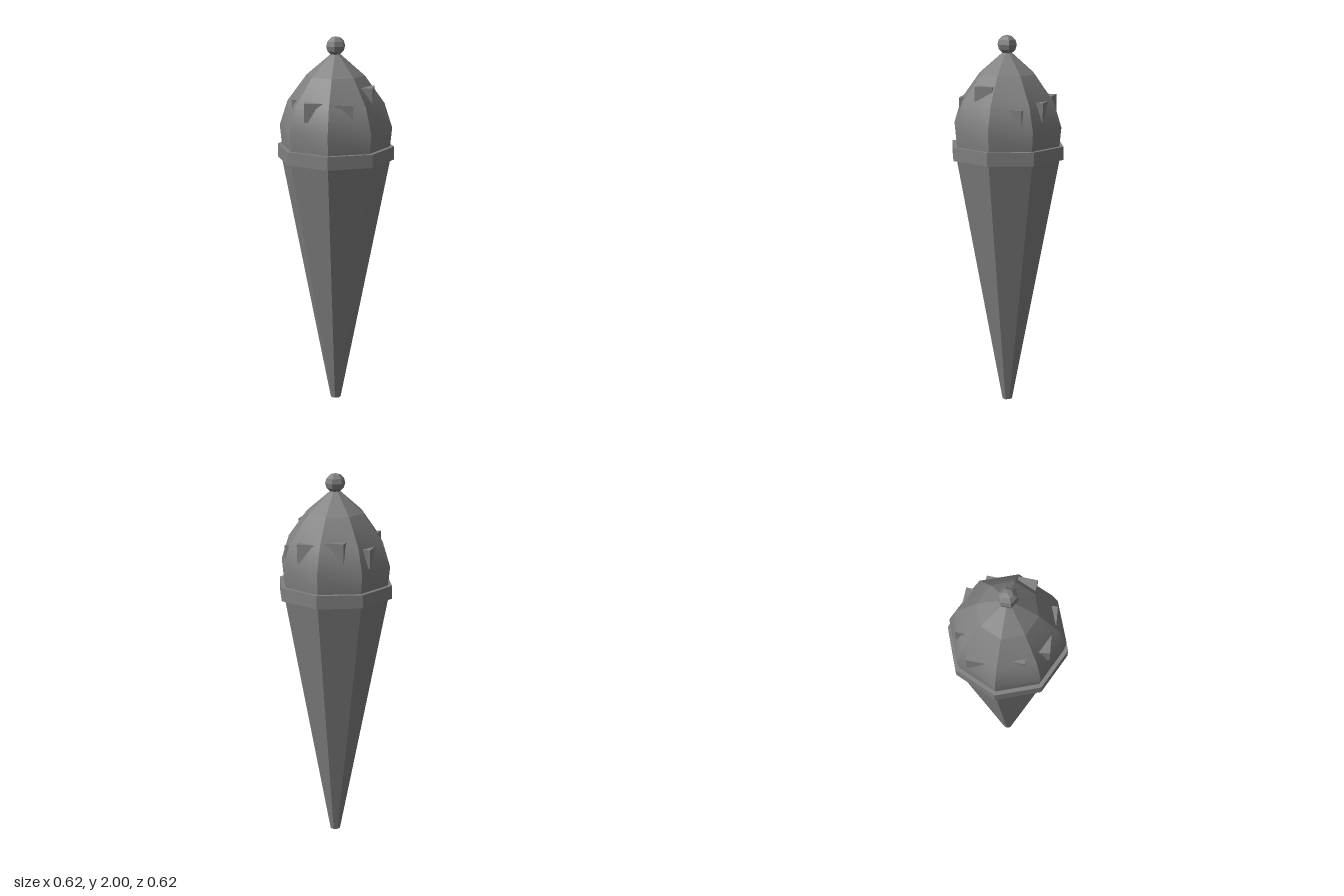
import * as THREE from 'three';
import { toCreasedNormals } from 'three/addons/utils/BufferGeometryUtils.js';

export function createModel() {
  const group = new THREE.Group();
  const flat = new THREE.MeshStandardMaterial({ color: 0x808080, flatShading: true });
  const creased = new THREE.MeshStandardMaterial({ color: 0x808080 });
  const SIDES = 8;

  const add = (name, geometry, material = flat) => {
    const mesh = new THREE.Mesh(geometry, material);
    mesh.name = name;
    group.add(mesh);
    return mesh;
  };

  // Octagonal frustum between two heights
  const frustum = (name, y0, r0, y1, r1) => {
    add(name, new THREE.CylinderGeometry(r1, r0, y1 - y0, SIDES)).position.y = (y0 + y1) / 2;
  };

  // Wafer cone with its collar
  frustum('waferCone', 0, 0.028, 1.37, 0.292);
  frustum('coneCollar', 1.36, 0.31, 1.43, 0.31);

  // Scoop: smooth up each facet, sharp between facets
  const profile = [[0.287, 1.42], [0.298, 1.53], [0.256, 1.66], [0.153, 1.8]]
    .map(([r, y]) => new THREE.Vector2(r, y));
  add('scoop', toCreasedNormals(new THREE.LatheGeometry(profile, SIDES), 0.5), creased);
  frustum('scoopTip', 1.8, 0.153, 1.915, 0.018);

  // Cherry on top
  const cherry = add('cherry', new THREE.SphereGeometry(0.053, 6, 6));
  cherry.scale.y = 0.05 / 0.053;
  cherry.rotation.y = Math.PI / 6;
  cherry.position.y = 1.95;

  // Cubes sunk into the scoop, placed by their outer top corner: x, y, z, turn
  const size = 0.097;
  const chips = [
    [-0.13, 1.685, 0.236, 0.13],
    [0.12, 1.68, 0.223, 0.13],
    [0.205, 1.75, 0.105, 0],
    [0.225, 1.64, -0.155, 0],
    [0.128, 1.67, -0.236, 0],
    [-0.12, 1.687, -0.235, 0],
    [-0.235, 1.648, -0.155, 0],
    [-0.21, 1.687, 0.13, 0],
  ];
  chips.forEach(([x, y, z, turn], i) => {
    const geometry = new THREE.BoxGeometry(size, size, size);
    geometry.translate(-Math.sign(x) * size / 2, -size / 2, -Math.sign(z) * size / 2);
    const chip = add(`chip${i + 1}`, geometry);
    chip.position.set(x, y, z);
    chip.rotation.y = turn;
  });

  return group;
}
